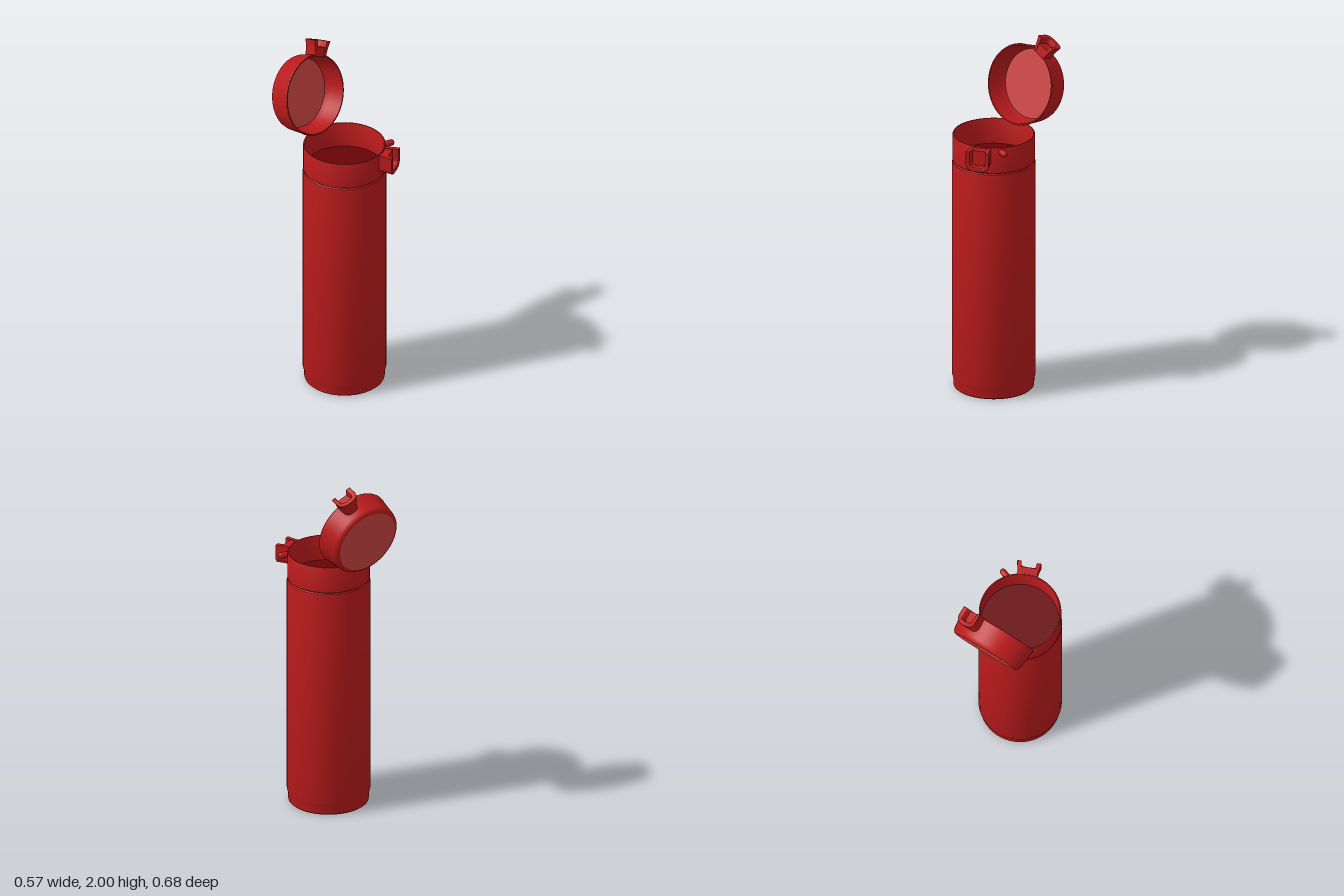
import * as THREE from 'three';
import { toCreasedNormals } from 'three/addons/utils/BufferGeometryUtils.js';

const material = (name, color) => new THREE.MeshStandardMaterial({ name, color });
const vec2 = ([x, y]) => new THREE.Vector2(x, y);

export function createModel() {
  const red = material('red', 0xb91a1b);
  const paleRed = material('paleRed', 0xcc4545);
  const darkRed = material('darkRed', 0x680307);

  const add = (parent, name, geometry, mat) => {
    const mesh = new THREE.Mesh(geometry, mat);
    mesh.name = name;
    parent.add(mesh);
    return mesh;
  };
  const lathe = (points) => toCreasedNormals(new THREE.LatheGeometry(points.map(vec2), 72), 0.6);
  // flat disc facing up or down
  const disc = (radius, y, up) =>
    new THREE.CircleGeometry(radius, 72).rotateX(up ? -Math.PI / 2 : Math.PI / 2).translate(0, y, 0);

  // widen a part along z, from a narrow neck to its outer end
  const flare = (geometry, near, far, neck) => {
    const p = geometry.attributes.position;
    for (let i = 0; i < p.count; i++) {
      const t = (p.getZ(i) - near) / (far - near);
      p.setX(i, p.getX(i) * (neck + (1.06 - neck) * t * t));
    }
    return toCreasedNormals(geometry, 0.6);
  };
  // U outline with a flat top at y = 0
  const uShape = (w, h, r) => {
    const s = new THREE.Shape();
    s.moveTo(-w, 0);
    s.lineTo(-w, -h + r);
    s.quadraticCurveTo(-w, -h, -w + r, -h);
    s.lineTo(w - r, -h);
    s.quadraticCurveTo(w, -h, w, -h + r);
    s.lineTo(w, 0);
    return s;
  };
  const clasp = (name, w, h, near, far, neck) => {
    const group = new THREE.Group();
    group.name = name;
    // U-shaped wall
    const wall = uShape(w, h, 0.045);
    const inner = uShape(w - 0.018, h - 0.02, 0.03).getPoints(8).reverse();
    inner.forEach((p) => wall.lineTo(p.x, p.y));
    const frame = new THREE.ExtrudeGeometry(wall, {
      depth: far - near - 0.01, steps: 5, curveSegments: 8,
      bevelThickness: 0.005, bevelSize: 0.003, bevelSegments: 2,
    }).translate(0, 0, near + 0.005);
    // recessed panel inside the wall
    const panel = new THREE.ExtrudeGeometry(uShape(w - 0.014, h - 0.016, 0.032), {
      depth: (far - near) * 0.6, steps: 3, curveSegments: 8, bevelEnabled: false,
    }).translate(0, 0, near);
    add(group, name + 'Frame', flare(frame, near, far, neck), red);
    add(group, name + 'Panel', flare(panel, near, far, neck), red);
    return group;
  };

  const model = new THREE.Group();
  model.name = 'flask';

  // body, collar and open mouth
  const bottle = new THREE.Group();
  bottle.name = 'bottle';
  bottle.position.set(0.02, 0, 0.075);
  model.add(bottle);
  add(bottle, 'body', lathe([
    [0.213, 0], [0.22, 0.006], [0.222, 0.015], [0.223, 0.05], [0.226, 0.06],
    [0.23, 0.075], [0.23, 1.32], [0.227, 1.332], [0.22, 1.337],
  ]), red);
  add(bottle, 'collar', lathe([
    [0.22, 1.337], [0.227, 1.343], [0.227, 1.488], [0.225, 1.492],
    [0.219, 1.492], [0.217, 1.488], [0.215, 1.345],
  ]), red);
  add(bottle, 'base', disc(0.213, 0, false), darkRed);
  add(bottle, 'mouthFloor', disc(0.216, 1.345, true), darkRed);

  // latch on the collar
  const latch = clasp('latch', 0.062, 0.11, 0.218, 0.3, 0.86);
  latch.position.y = 1.486;
  latch.rotation.y = 0.73;
  bottle.add(latch);

  // small release knob beside the latch
  const knob = add(bottle, 'knob', new THREE.CapsuleGeometry(0.018, 0.03, 6, 16), red);
  knob.rotation.z = Math.PI / 2;
  knob.position.set(0.234, 1.468, 0.078);

  // open lid, swung back on its rim
  const lid = new THREE.Group();
  lid.name = 'lid';
  const outward = new THREE.Vector3(-0.322, -0.25, -0.915).normalize();
  const upward = new THREE.Vector3(0, 1, 0).addScaledVector(outward, -outward.y).normalize();
  const side = new THREE.Vector3().crossVectors(outward, upward);
  lid.quaternion.setFromRotationMatrix(new THREE.Matrix4().makeBasis(side, outward, upward));
  lid.position.set(-0.05, 1.713, -0.132);
  model.add(lid);
  add(lid, 'lidShell', lathe([
    [0.193, 0.115], [0.208, 0.09], [0.214, 0.012], [0.218, 0], [0.225, 0], [0.227, 0.006],
    [0.224, 0.016], [0.212, 0.115], [0.207, 0.13], [0.198, 0.139], [0.186, 0.142],
  ]), red);
  add(lid, 'lidTop', disc(0.186, 0.142, true), paleRed);
  add(lid, 'lidLining', disc(0.194, 0.115, false), paleRed);

  // catch on the lid, matching the latch, with its round end towards the lid top
  const lidCatch = clasp('lidCatch', 0.058, 0.088, 0.212, 0.302, 0.72);
  lidCatch.rotation.set(0, 0.45, Math.PI);
  lid.add(lidCatch);

  return model;
}
